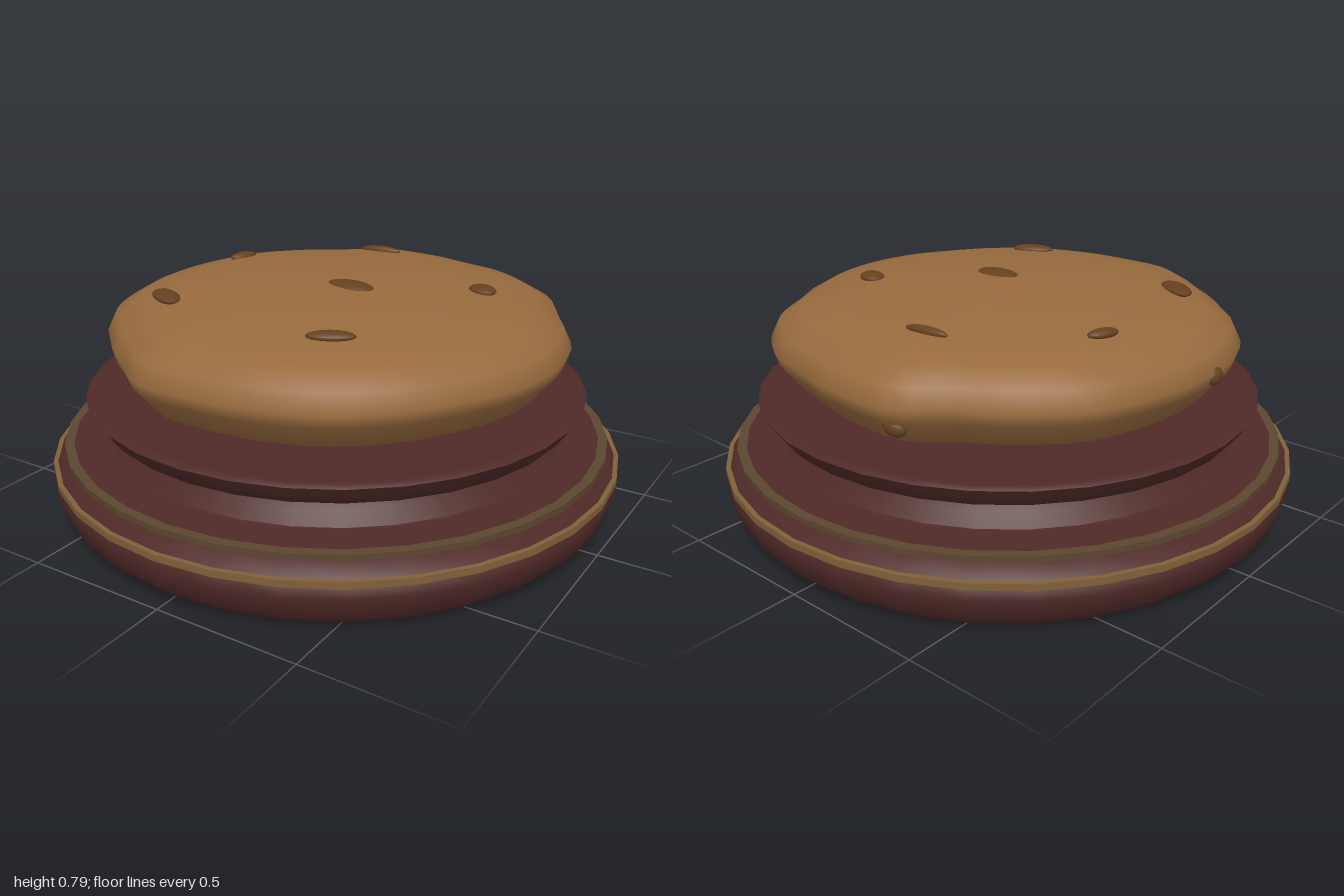
import * as THREE from 'three';
import { mergeVertices, toCreasedNormals } from 'three/addons/utils/BufferGeometryUtils.js';

const material = (color) => new THREE.MeshStandardMaterial({ color, roughness: 0.8 });
const chocolate = material(0x4f2a27);
const gold = material(0x80603a);
const darkGold = material(0x5c4630);
const biscuit = material(0x976a3d);
const chip = material(0x65401f);

const points = (pairs) => pairs.map(([r, y]) => new THREE.Vector2(r, y));

function turned(name, pairs, mat, crease) {
  let geometry = new THREE.LatheGeometry(points(pairs), 32);
  if (crease) geometry = toCreasedNormals(geometry, crease);
  const mesh = new THREE.Mesh(geometry, mat);
  mesh.name = name;
  return mesh;
}

// Flat-sided ring with a rectangular section
const band = (name, inner, outer, low, high, mat) => turned(name,
  [[inner, low], [outer, low], [outer, high], [inner, high], [inner, low]], mat, 0.6);

// Uneven outline of the cookie: radius every 15 degrees, from +x towards -z
const outline = [
  0.815, 0.81, 0.79, 0.815, 0.81, 0.785, 0.8, 0.825, 0.77, 0.78, 0.795, 0.785,
  0.785, 0.795, 0.797, 0.775, 0.78, 0.82, 0.8, 0.8, 0.805, 0.8, 0.795, 0.81];

function outlineRadius(angle) {
  const n = outline.length;
  const t = ((angle / (2 * Math.PI)) * n + n) % n;
  const i = Math.floor(t);
  const f = t - i;
  const s = f * f * (3 - 2 * f);
  return THREE.MathUtils.lerp(outline[i % n], outline[(i + 1) % n], s);
}

function createCookie() {
  const profile = points([
    [0, 0.437], [0.56, 0.44], [0.71, 0.47], [0.785, 0.56], [0.8, 0.605],
    [0.77, 0.665], [0.69, 0.712], [0.55, 0.745], [0.3, 0.765], [0.1, 0.778], [0, 0.78]]);
  let geometry = new THREE.LatheGeometry(profile, 72);
  const p = geometry.attributes.position;
  for (let i = 0; i < p.count; i++) {
    const k = outlineRadius(Math.atan2(-p.getZ(i), p.getX(i))) / 0.8;
    p.setX(i, p.getX(i) * k);
    p.setZ(i, p.getZ(i) * k);
  }
  // Weld the seam so the shading runs smoothly round
  geometry.deleteAttribute('uv');
  geometry.deleteAttribute('normal');
  geometry = mergeVertices(geometry, 1e-4);
  geometry.computeVertexNormals();
  const mesh = new THREE.Mesh(geometry, biscuit);
  mesh.name = 'cookie';
  return mesh;
}

export function createModel() {
  const model = new THREE.Group();
  model.name = 'cookieOnStand';

  // Stand: rounded foot, waist and flared lip
  model.add(turned('foot', [
    [0, 0.005], [0.915, 0], [0.975, 0.055], [1, 0.13], [0.99, 0.185],
    [0.92, 0.222], [0.8, 0.248]], chocolate));
  model.add(turned('waist', [[0.8, 0.245], [0.76, 0.285], [0.73, 0.335], [0.73, 0.345]], chocolate));
  model.add(turned('lip', [
    [0.72, 0.338], [0.825, 0.342], [0.85, 0.375], [0.873, 0.41], [0.86, 0.42],
    [0.82, 0.415], [0.775, 0.4], [0.74, 0.402], [0, 0.402]], chocolate, 0.9));

  // Trim rings
  model.add(band('goldBand', 0.96, 1, 0.165, 0.188, gold));
  model.add(band('upperRing', 0.925, 0.957, 0.23, 0.25, darkGold));
  model.add(band('upperStep', 0.78, 0.927, 0.225, 0.246, chocolate));

  model.add(createCookie());

  // Chips: x, y, z, half length, half width, turn about y
  const chips = [
    [0.08, 0.773, 0.04, 0.09, 0.05, -0.05],
    [0.45, 0.752, -0.22, 0.055, 0.042, -0.5],
    [-0.12, 0.75, -0.52, 0.08, 0.018, 0.12],
    [-0.53, 0.745, -0.175, 0.055, 0.025, 1.2],
    [-0.435, 0.742, 0.385, 0.085, 0.042, -0.55],
    [0.27, 0.75, 0.46, 0.078, 0.032, 0.5]];
  const chipGeometry = new THREE.SphereGeometry(1, 16, 10);
  const addChip = (position, scale, turn, tilt) => {
    const mesh = new THREE.Mesh(chipGeometry, chip);
    mesh.name = 'chip';
    mesh.position.set(...position);
    mesh.scale.set(...scale);
    mesh.rotation.set(0, turn, tilt);
    model.add(mesh);
  };
  for (const [x, y, z, a, b, turn] of chips) addChip([x, y, z], [a, 0.017, b], turn, 0);

  // Two chips set into the side
  addChip([-0.775, 0.59, 0.09], [0.02, 0.03, 0.035], 0, 0);
  addChip([-0.21, 0.535, -0.75], [0.04, 0.03, 0.025], 0.3, 0.3);

  return model;
}
